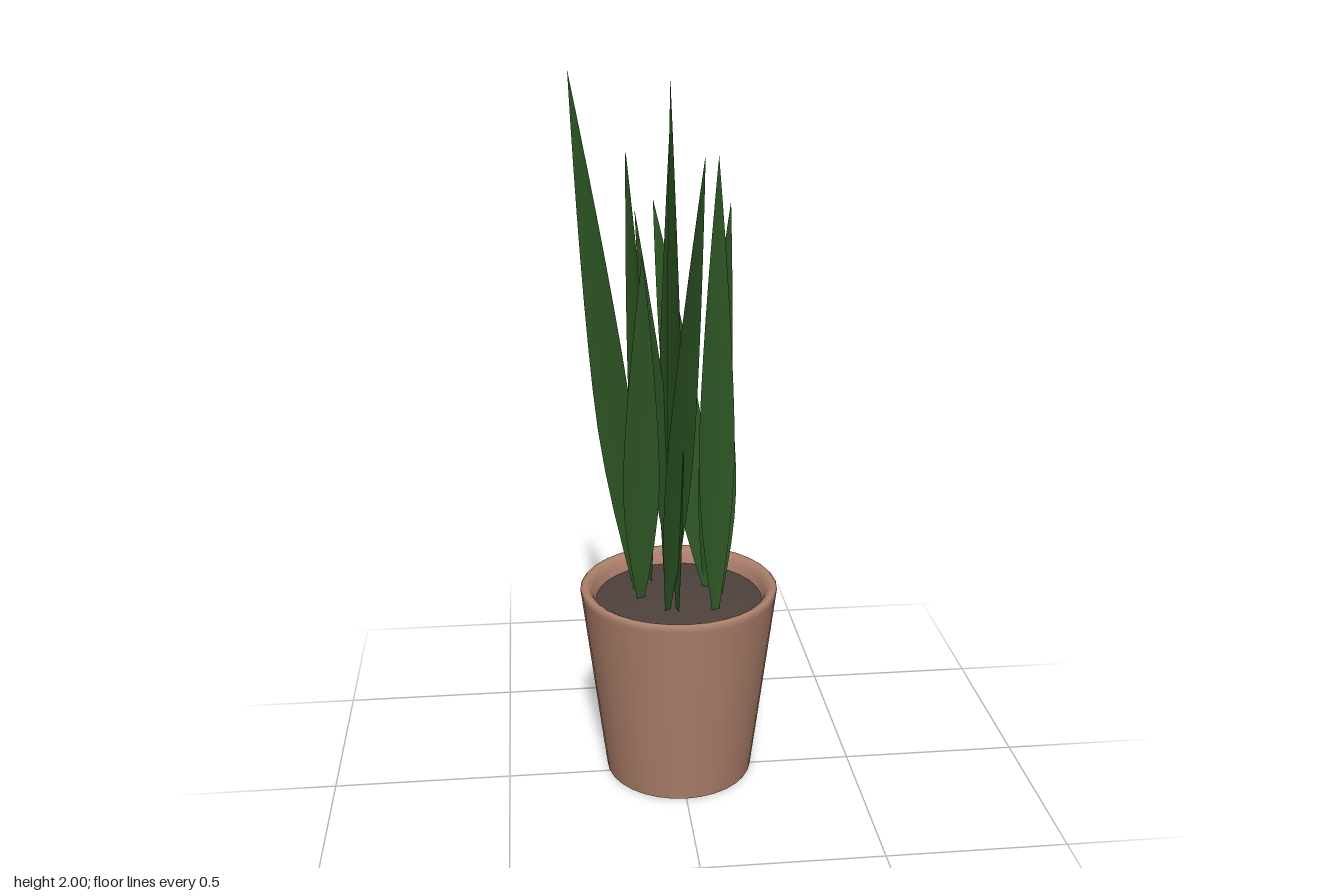
import * as THREE from 'three';

const mat = (name, color, side = THREE.FrontSide) => {
  const m = new THREE.MeshStandardMaterial({ color, side });
  m.name = name;
  return m;
};

// Upright pointed blade: base and tip are points, across is its horizontal width direction [x, z]
function leafGeometry(base, tip, across, width) {
  const rows = 12;
  const a = new THREE.Vector3(...base), b = new THREE.Vector3(...tip);
  const w = new THREE.Vector3(across[0], 0, across[1]).normalize();
  const n = new THREE.Vector3().crossVectors(w, b.clone().sub(a)).normalize();
  const pos = [], idx = [];
  for (let i = 0; i <= rows; i++) {
    const t = i / rows;
    // narrow foot, widest a third of the way up, long taper to the tip
    const half = width / 2 * (t < 0.36
      ? 0.2 + 0.8 * Math.sin(t / 0.36 * Math.PI / 2)
      : 1 - Math.pow((t - 0.36) / 0.64, 1.45));
    const c = a.clone().lerp(b, t);
    for (const s of [-1, 0, 1]) {
      const p = c.clone().addScaledVector(w, s * half).addScaledVector(n, s === 0 ? -half * 0.16 : 0);
      pos.push(p.x, p.y, p.z);
    }
    if (i < rows) for (let k = 0; k < 2; k++) {
      const q = i * 3 + k;
      idx.push(q, q + 1, q + 4, q, q + 4, q + 3);
    }
  }
  const g = new THREE.BufferGeometry();
  g.setAttribute('position', new THREE.Float32BufferAttribute(pos, 3));
  g.setIndex(idx);
  g.computeVertexNormals();
  return g;
}

export function createModel() {
  const group = new THREE.Group();
  const clay = mat('terracotta', 0xad806b);
  const earth = mat('soil', 0x4e423c);
  const green = mat('leaf green', 0x2c5423, THREE.DoubleSide);
  const potZ = -0.04;

  const add = (name, geometry, material, z = 0) => {
    const m = new THREE.Mesh(geometry, material);
    m.name = name;
    m.position.z = z;
    group.add(m);
  };
  const lathe = (pts) => new THREE.LatheGeometry(pts.map(p => new THREE.Vector2(...p)), 32);

  // Tapered pot with a rounded lip
  add('potWall', lathe([
    [0.211, 0], [0.227, 0.13], [0.245, 0.28], [0.263, 0.43], [0.278, 0.555],
    [0.28, 0.569], [0.274, 0.576], [0.264, 0.576], [0.253, 0.57], [0.245, 0.556], [0.234, 0.525],
  ]), clay, potZ);
  add('potBase', lathe([[0, 0], [0.211, 0]]), clay, potZ);

  // Slightly domed soil just below the lip
  add('soil', lathe([[0.237, 0.532], [0.19, 0.538], [0.14, 0.543], [0.07, 0.547], [0, 0.548]]), earth, potZ);

  // Leaves: base, tip, width direction, width
  const leaves = [
    [[-0.115, 0.54, -0.08], [-0.28, 2.0, -0.067], [0.93, 0.35], 0.105],
    [[-0.015, 0.54, 0.07], [-0.04, 2.0, 0.152], [0.3, 1], 0.11],
    [[-0.042, 0.54, 0.065], [0.026, 1.84, 0.318], [0.75, -0.6], 0.1],
    [[-0.075, 0.54, -0.14], [-0.125, 1.78, -0.213], [0.565, 0.825], 0.105],
    [[0.085, 0.54, -0.075], [-0.05, 1.64, -0.232], [1, -0.1], 0.11],
    [[-0.028, 0.54, -0.125], [-0.02, 1.85, -0.07], [0.35, 0.94], 0.115],
    [[0.0, 0.54, -0.12], [-0.112, 1.64, -0.08], [0.65, -0.76], 0.105],
    [[-0.11, 0.54, -0.02], [-0.1, 1.54, 0.014], [1, -0.2], 0.105],
    [[0.085, 0.54, -0.086], [0.142, 1.66, -0.068], [0.9, -0.4], 0.1],
    [[0.092, 0.54, 0.072], [0.108, 1.78, -0.058], [0.9, -0.4], 0.115],
    [[0.112, 0.54, -0.02], [0.122, 1.45, -0.14], [1, -0.05], 0.1],
  ];
  leaves.forEach(([base, tip, across, width], i) =>
    add('leaf' + (i + 1), leafGeometry(base, tip, across, width), green));

  return group;
}
